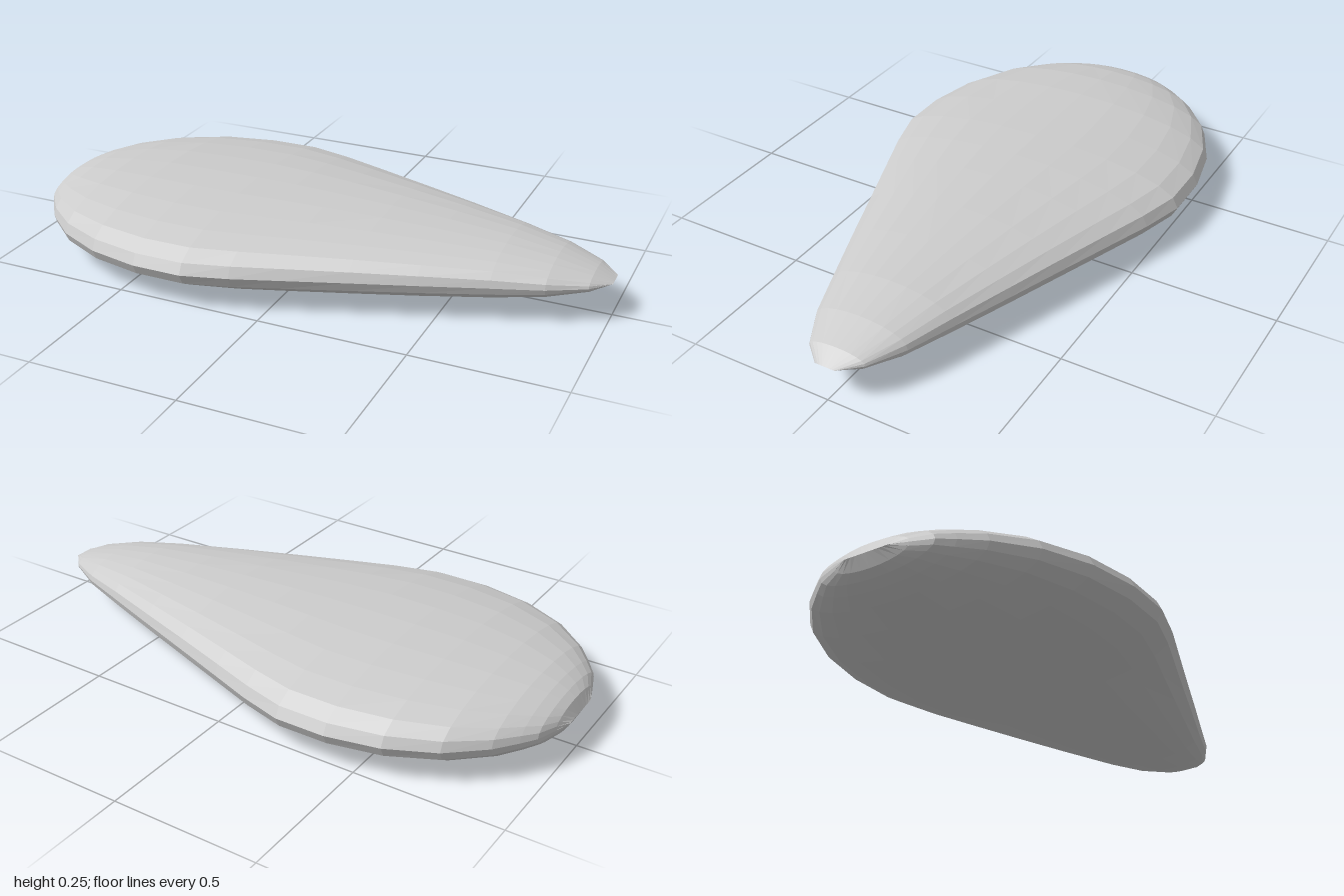
import * as THREE from 'three';

// Cross-sections along the length: [x, half width, half height]
const SECTIONS = [
  [-1, 0.08, 0], [-0.98, 0.14, 0.042], [-0.955, 0.21, 0.06], [-0.92, 0.26, 0.076],
  [-0.865, 0.332, 0.092], [-0.75, 0.432, 0.11], [-0.595, 0.506, 0.121], [-0.42, 0.543, 0.124],
  [-0.25, 0.543, 0.125], [-0.1, 0.5, 0.124], [0.05, 0.445, 0.12], [0.25, 0.372, 0.112],
  [0.45, 0.3, 0.101], [0.66, 0.223, 0.085], [0.82, 0.165, 0.06], [0.94, 0.1, 0.028], [1, 0.035, 0],
];
const SIDES = 24;
const MID_Y = 0.125;

// Slightly full ellipse, so the rim stays sharp and the faces flat
function sectionPoint([x, w, h], j) {
  const a = (j / SIDES) * Math.PI * 2;
  const s = Math.sin(a);
  return [x, MID_Y + h * Math.sign(s) * Math.abs(s) ** 0.92, w * Math.cos(a)];
}

function loft(sections) {
  const positions = sections.flatMap((s) =>
    Array.from({ length: SIDES }, (_, j) => sectionPoint(s, j)).flat());
  const index = [];
  for (let i = 0; i < sections.length - 1; i++) {
    for (let j = 0; j < SIDES; j++) {
      const a = i * SIDES + j, d = i * SIDES + ((j + 1) % SIDES);
      const b = a + SIDES, c = d + SIDES;
      index.push(a, b, c, a, c, d);
    }
  }
  const geometry = new THREE.BufferGeometry();
  geometry.setAttribute('position', new THREE.Float32BufferAttribute(positions, 3));
  geometry.setIndex(index);
  geometry.computeVertexNormals();
  return geometry;
}

export function createModel() {
  const group = new THREE.Group();
  group.name = 'teardropPebble';
  // Flattened teardrop body
  const body = new THREE.Mesh(
    loft(SECTIONS),
    new THREE.MeshStandardMaterial({ color: 0xcccccc, flatShading: true }),
  );
  body.name = 'teardropBody';
  group.add(body);
  return group;
}
